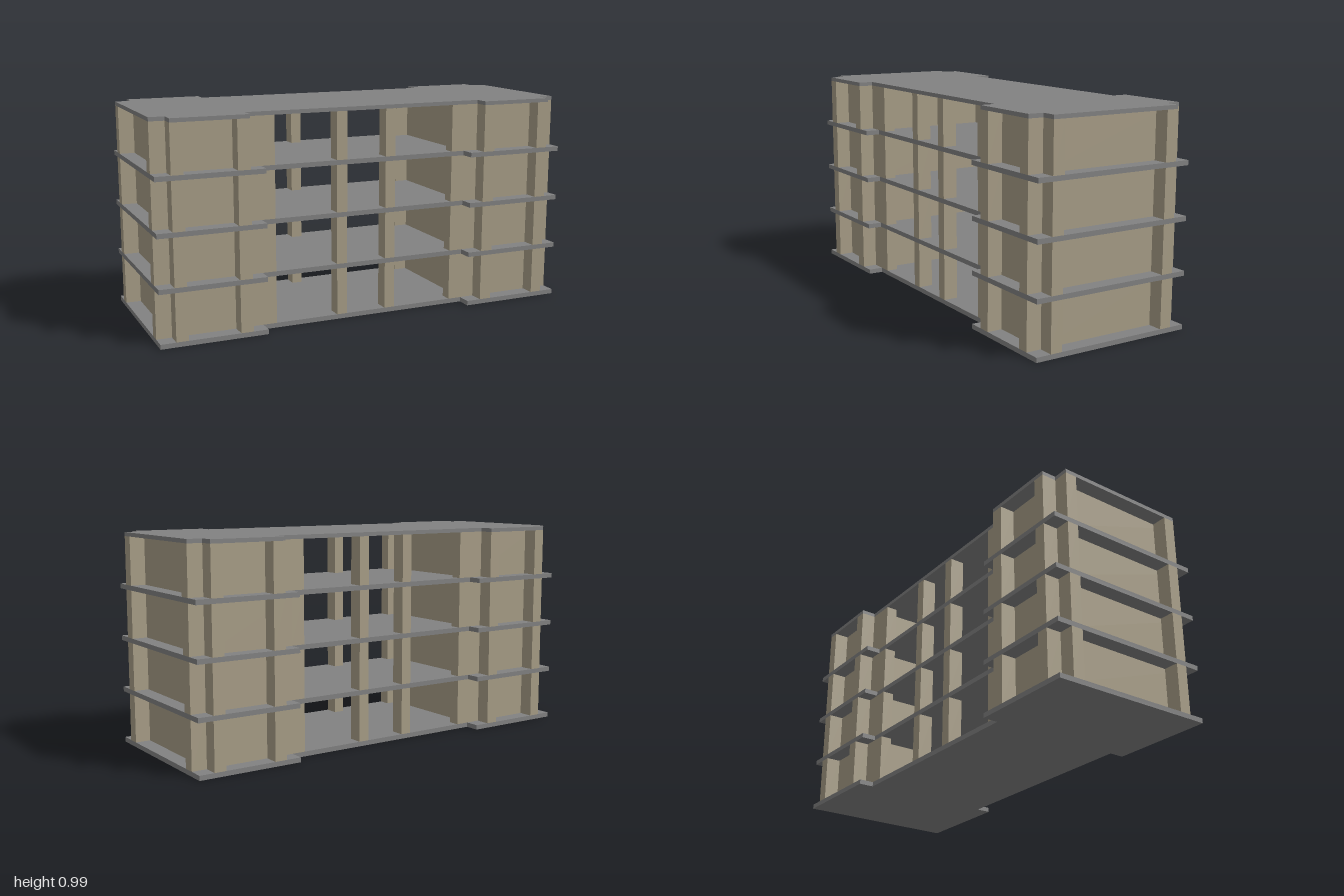
import * as THREE from 'three';

const wallMat = new THREE.MeshStandardMaterial({ color: 0xa89e87 });
const slabMat = new THREE.MeshStandardMaterial({ color: 0x828282 });

const W = 1, D = 0.385;            // half width and half depth of the wings
const BODY = 0.315;                // half depth of the middle section
const SLAB = 0.022, STEP = 0.2415; // slab thickness and storey pitch
const ROOF_Y = 4 * STEP + 0.001, ROOF_T = 0.018;

// Box given by its x, y and z limits
function block(name, mat, x0, x1, y0, y1, z0, z1) {
  const mesh = new THREE.Mesh(new THREE.BoxGeometry(x1 - x0, y1 - y0, z1 - z0), mat);
  mesh.position.set((x0 + x1) / 2, (y0 + y1) / 2, (z0 + z1) / 2);
  mesh.name = name;
  return mesh;
}

// Flat plate from a quarter outline, mirrored over both axes
function plate(name, quarter, y, thickness) {
  const back = [...quarter].reverse();
  const pts = [
    ...quarter,
    ...back.map(([x, z]) => [-x, z]),
    ...quarter.map(([x, z]) => [-x, -z]),
    ...back.map(([x, z]) => [x, -z]),
  ].map(([x, z]) => new THREE.Vector2(x, z));
  const geo = new THREE.ExtrudeGeometry(new THREE.Shape(pts), { depth: thickness, bevelEnabled: false });
  geo.rotateX(-Math.PI / 2);
  const mesh = new THREE.Mesh(geo, slabMat);
  mesh.position.y = y;
  mesh.name = name;
  return mesh;
}

export function createModel() {
  const model = new THREE.Group();
  model.name = 'building';

  // Ground and storey slabs with wide end wings
  const floorOutline = [[W, D], [0.51, D], [0.51, BODY]];
  for (let i = 0; i < 4; i++) {
    model.add(plate(i ? 'floorSlab' : 'groundSlab', floorOutline, i * STEP, SLAB));
  }

  // Roof, notched at the wing corners
  const roofOutline = [[W, BODY], [0.93, BODY], [0.93, D], [0.58, D], [0.58, BODY]];
  model.add(plate('roof', roofOutline, ROOF_Y, ROOF_T));

  for (let i = 0; i < 4; i++) {
    const y0 = i * STEP + SLAB;
    const y1 = i < 3 ? (i + 1) * STEP : ROOF_Y;
    const storey = new THREE.Group();
    storey.name = 'storey';

    // Columns as [name, x0, x1, z0, z1], mirrored to all four quarters
    const columns = [
      ['wingFrontColumn', 0.875, 0.93, BODY, D],
      ['wingFrontColumn', 0.58, 0.638, BODY, D],
      ['wingSideColumn', 0.93, W, 0.26, BODY],
      ['wingInnerColumn', 0.445, 0.51, 0.26, BODY],
      ['middleColumn', 0.097, 0.147, 0.247, BODY],
    ];
    for (const sx of [1, -1]) {
      // Recessed wing walls
      const wx = [0.51 * sx, 0.93 * sx].sort((a, b) => a - b);
      storey.add(block('wingWalls', wallMat, wx[0], wx[1], y0, y1, -BODY, BODY));
      for (const sz of [1, -1]) {
        for (const [name, a, b, c, d] of columns) {
          const [x0, x1] = sx > 0 ? [a, b] : [-b, -a];
          const [z0, z1] = sz > 0 ? [c, d] : [-d, -c];
          storey.add(block(name, wallMat, x0, x1, y0, y1, z0, z1));
        }
      }
    }
    model.add(storey);
  }
  return model;
}
